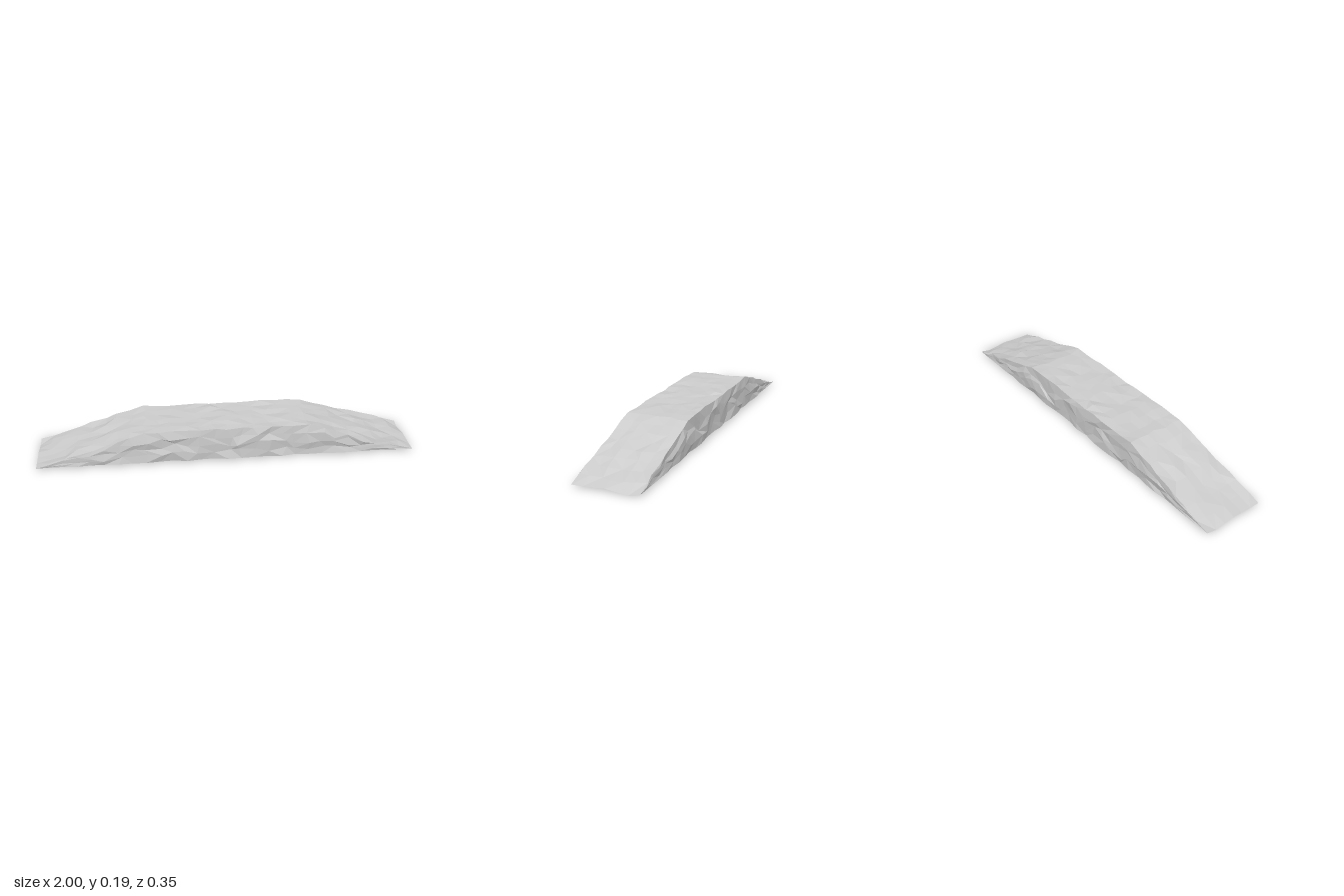
import * as THREE from 'three';

const RAMP = 8, FLAT = 12, COLS = RAMP * 2 + FLAT;  // columns along the length
const LANES = 6, ROWS = 4;                          // across the deck, up the walls
const BASE = 0.012, TOP = 0.181, KNEE = 0.43;

// Repeatable noise in -1..1 for a vertex index
function noise(a, b, c) {
  const s = Math.sin(a * 12.9898 + b * 78.233 + c * 37.719) * 43758.5453;
  return (s - Math.floor(s)) * 2 - 1;
}

// Column position: ramp up, flat top, ramp down
function columnX(i) {
  if (i <= RAMP) return -1 + (1 - KNEE) * i / RAMP;
  if (i >= RAMP + FLAT) return KNEE + (1 - KNEE) * (i - RAMP - FLAT) / RAMP;
  return -KNEE + 2 * KNEE * (i - RAMP) / FLAT;
}

function deckHeight(x) {
  return BASE + (TOP - BASE) * Math.min(1, (1 - Math.abs(x)) / (1 - KNEE));
}

// Uneven walking surface; lane 0 is the back edge, lane LANES the front
function deckPoint(i, lane) {
  const x = columnX(i), t = lane / LANES, side = t * 2 - 1;
  const tip = i === 0 || i === COLS;
  if (tip) {
    const lips = [0.011, 0, 0.008, 0.016, 0.012, 0.01, 0.01];
    return [x, lips[lane], side * 0.168];
  }
  const edge = lane === 0 || lane === LANES;
  const inset = 0.168 - 0.006 * (deckHeight(x) - BASE) / (TOP - BASE);
  return [
    x + noise(i, lane, 1) * 0.014,
    deckHeight(x) + noise(i, lane, 2) * 0.005,
    side * inset + noise(i, lane, 3) * (edge ? 0.003 : 0.012),
  ];
}

// Rough wall from the ground line up to the deck edge
function wallPoint(i, row, side) {
  const lip = deckPoint(i, side > 0 ? LANES : 0);
  if (row === ROWS || i === 0 || i === COLS) return lip;
  const x = columnX(i), t = row / ROWS;
  const room = (lip[1] - BASE) / (TOP - BASE);
  const seed = side * 50 + row;
  const inner = row > 0 ? 1 : 0;
  return [
    x + noise(i, seed, 4) * 0.026 * inner * room,
    BASE + (lip[1] - BASE) * t + noise(i, seed, 5) * 0.017 * inner * room,
    side * (0.169 + noise(i, seed, 6) * 0.008 * (0.3 + 0.7 * room)),
  ];
}

// Faceted sheet over a grid of points, with alternating diagonals
function sheet(name, nu, nv, point) {
  const pos = [], index = [];
  for (let v = 0; v <= nv; v++)
    for (let u = 0; u <= nu; u++) pos.push(...point(u, v));
  for (let v = 0; v < nv; v++)
    for (let u = 0; u < nu; u++) {
      const a = v * (nu + 1) + u, b = a + 1, d = a + nu + 1, c = d + 1;
      if (noise(u, v, 7) > 0) index.push(a, b, c, a, c, d);
      else index.push(a, b, d, b, c, d);
    }
  const geometry = new THREE.BufferGeometry();
  geometry.setAttribute('position', new THREE.Float32BufferAttribute(pos, 3));
  geometry.setIndex(index);
  geometry.computeVertexNormals();
  const mesh = new THREE.Mesh(geometry, new THREE.MeshStandardMaterial({
    color: 0xcccccc, flatShading: true, side: THREE.DoubleSide,
  }));
  mesh.name = name;
  return mesh;
}

export function createModel() {
  const group = new THREE.Group();
  group.name = 'stoneRampBridge';
  // The underside is left open
  group.add(
    sheet('deck', LANES, COLS, (u, v) => deckPoint(v, u)),
    sheet('frontWall', COLS, ROWS, (u, v) => wallPoint(u, v, 1)),
    sheet('backWall', COLS, ROWS, (u, v) => wallPoint(COLS - u, v, -1)),
  );
  return group;
}
